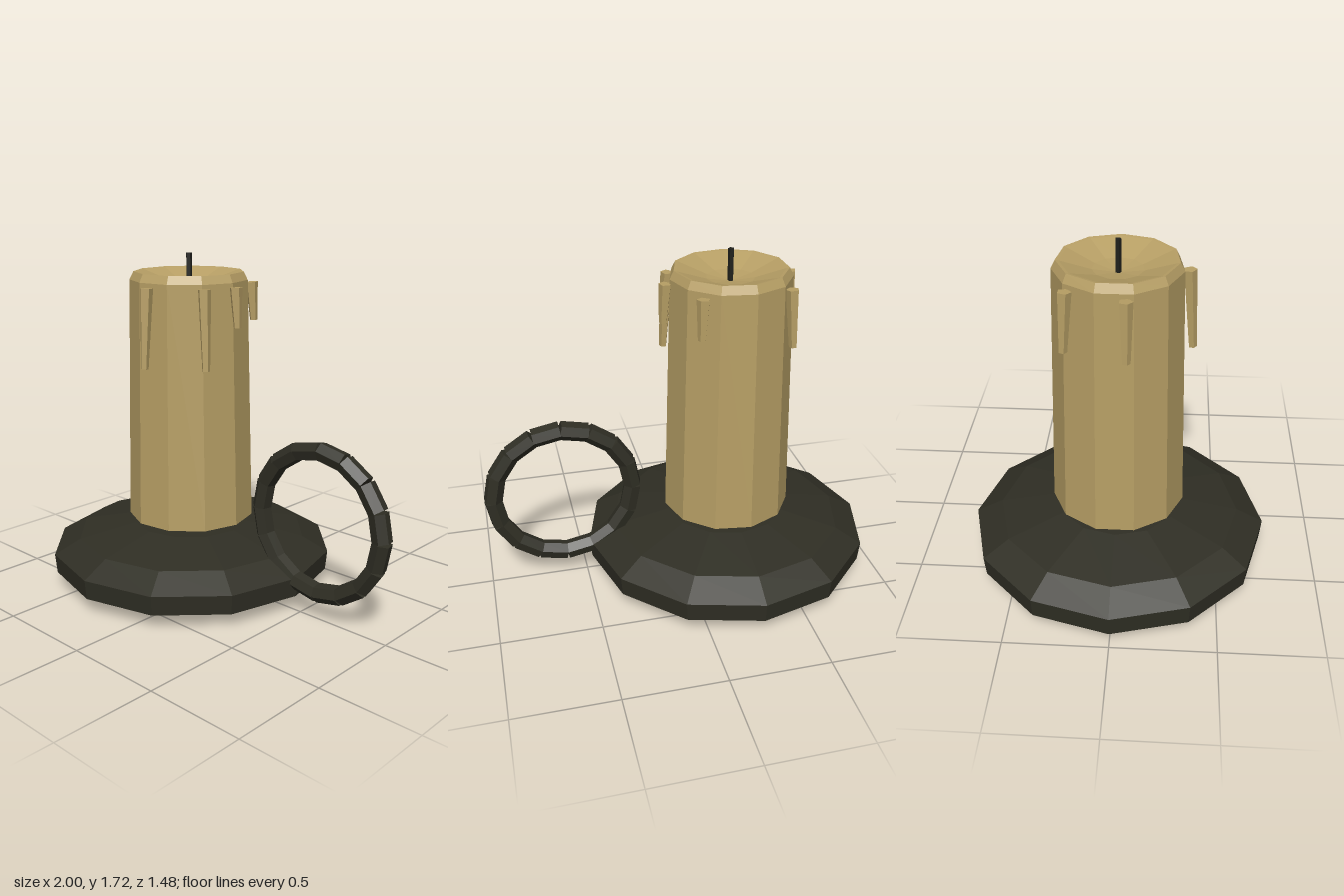
import * as THREE from 'three';

const flat = (name, color) => new THREE.MeshStandardMaterial({ name, color, flatShading: true });

export function createModel() {
  const wax = flat('wax', 0xb79f65);
  const iron = flat('dark iron', 0x2f2e24);
  const char = flat('charred wick', 0x1f201b);

  const model = new THREE.Group();
  model.name = 'candleHolder';

  // Everything but the handle is centred on the candle's axis
  const body = new THREE.Group();
  body.name = 'candleAndDish';
  body.position.x = -0.26;
  model.add(body);

  const add = (parent, name, geometry, material) => {
    const mesh = new THREE.Mesh(geometry, material);
    mesh.name = name;
    parent.add(mesh);
    return mesh;
  };
  // Turned shape with its first corner on +x
  const turned = (profile, sides) =>
    new THREE.LatheGeometry(profile.map(([r, y]) => new THREE.Vector2(r, y)), sides).rotateY(Math.PI / 2);

  // Twelve-sided dish
  add(body, 'dish', turned([
    [0, 0], [0.545, 0], [0.73, 0.075], [0.74, 0.175], [0.605, 0.248], [0.31, 0.308], [0, 0.308],
  ], 12), iron);

  // Eleven-sided candle with a bevelled rim and a hollow top
  add(body, 'candle', turned([
    [0, 0.345], [0.328, 0.345], [0.3, 1.585], [0.28, 1.625], [0.265, 1.622], [0.12, 1.575], [0, 1.555],
  ], 11), wax);

  // Wick
  const wick = add(body, 'wick', new THREE.CylinderGeometry(0.015, 0.015, 0.18, 5), char);
  wick.position.y = 1.625;

  // Wax drips: direction around the candle (x, z) and lower end
  const up = new THREE.Vector3(0, 1, 0);
  const drips = [
    [0.33, 0, 1.37], [0.275, 0.17, 1.175], [0.03, 0.32, 1.175],
    [-0.31, 0.05, 1.28], [-0.23, -0.21, 1.28], [0.2, -0.25, 1.37],
  ];
  for (const [x, z, end] of drips) {
    const out = new THREE.Vector3(x, 0, z).normalize();
    const top = out.clone().multiplyScalar(0.32).setY(1.565);
    const low = out.clone().multiplyScalar(0.32 + 0.065 * (1.565 - end)).setY(end);
    const axis = top.clone().sub(low);
    const drip = add(body, 'waxDrip', new THREE.CylinderGeometry(0.033, 0.02, axis.length(), 5), wax);
    drip.position.addVectors(top, low).multiplyScalar(0.5);
    drip.quaternion.setFromUnitVectors(up, axis.normalize());
  }

  // Ring handle made of separate straight links
  const handle = new THREE.Group();
  handle.name = 'ringHandle';
  handle.position.set(0.6, 0.493, 0);
  model.add(handle);
  const links = 16, ringRadius = 0.357;
  const length = 2 * ringRadius * Math.sin(Math.PI / links);
  const link = new THREE.CylinderGeometry(0.048, 0.048, length, 6).rotateY(0.2);
  for (let i = 0; i < links; i++) {
    const a = ((i + 0.5) / links) * Math.PI * 2;
    const mesh = add(handle, 'handleLink', link, iron);
    const r = ringRadius * Math.cos(Math.PI / links);
    mesh.position.set(Math.cos(a) * r, Math.sin(a) * r, 0);
    mesh.rotation.z = a;
  }

  return model;
}
